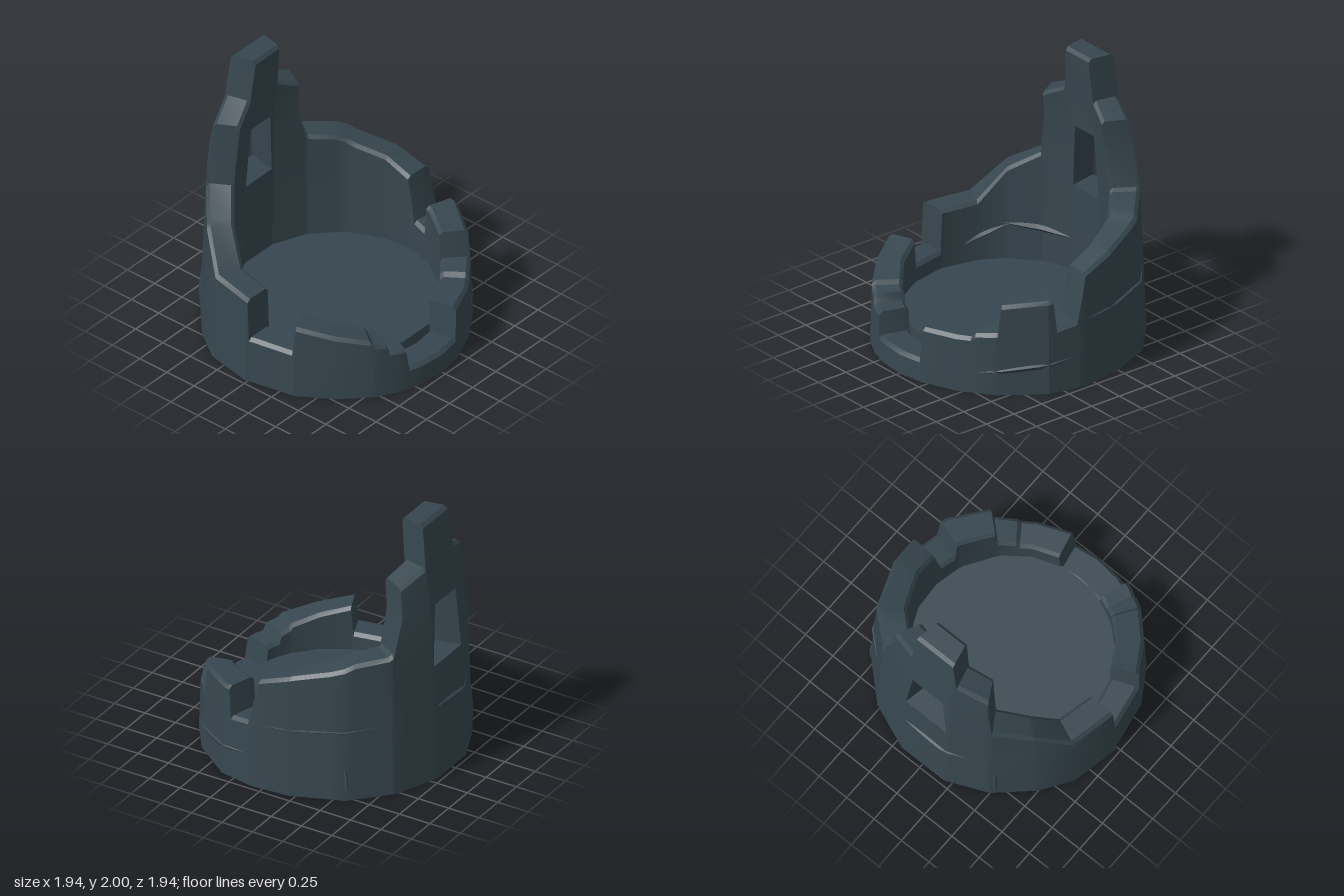
import * as THREE from 'three';
import { toCreasedNormals } from 'three/addons/utils/BufferGeometryUtils.js';

const RAD = Math.PI / 180;
const BEVEL = 0.025;
const LEVELS = [0, 0.5, 0.89, 1.37, 1.65, 2]; // window spans levels 2 to 3

// Corners of the uneven ring: [angle from the front towards +x, outer scale]
const CORNERS = [
  [0, 0.985], [12, 0.975], [28.5, 0.965], [46, 0.975], [68.5, 1], [85, 0.985], [102, 0.98],
  [126, 1], [147.5, 1], [168.75, 1], [191.25, 1], [211, 0.985], [231, 0.975], [247, 0.99],
  [269, 0.985], [271, 0.97], [292, 0.975], [309.5, 0.965], [326.5, 0.98], [338, 0.985],
  [348, 0.985], [360, 0.985],
];
// Broken top edge: [angle, height]
const SKYLINE = [
  [0, 0.17], [11, 0.17], [12.5, 0.42], [35, 0.42], [37, 0.45], [47, 0.47],
  [48.5, 0.68], [71, 0.71], [72.5, 0.48], [82, 0.5], [87, 0.85], [103, 0.94],
  [120, 1.0], [131, 1.06], [146, 1.08], [148, 1.1], [153, 1.38], [153.3, 1.59],
  [168, 1.67], [168.75, 2], [191.25, 2], [194, 1.67], [209.3, 1.575], [211.5, 1.08],
  [229, 0.95], [231, 0.93], [247, 0.69], [269, 0.68], [270, 0.36], [291, 0.36],
  [292.5, 0.57], [325, 0.46], [326.5, 0.43], [332, 0.41], [333.5, 0.35], [341, 0.34],
  [342.5, 0.17], [360, 0.17],
];
const OUTER = [[0, 0.985], [0.5, 0.967], [0.93, 0.948], [1.4, 0.93], [1.65, 0.885], [2, 0.846]];
const INNER = [[0, 0.735], [1, 0.73], [1.4, 0.715], [1.57, 0.69], [2, 0.648]];

function sample(table, t) {
  for (let i = 1; i < table.length; i++) {
    const [a, u] = table[i - 1], [b, v] = table[i];
    if (t <= b) return u + (v - u) * (t - a) / (b - a);
  }
  return table[table.length - 1][1];
}

// Point on the ring, where each side is a flat chord between two corners
function ringPoint(deg, table, y, offset = 0) {
  const k = Math.max(1, CORNERS.findIndex(c => deg <= c[0]));
  const [[a, sa], [b, sb]] = [CORNERS[k - 1], CORNERS[k]];
  const radius = sample(table, y);
  const ra = radius * (table === OUTER ? sa : 1), rb = radius * (table === OUTER ? sb : 1);
  const r = ra * rb * Math.sin((b - a) * RAD) /
    (ra * Math.sin((deg - a) * RAD) + rb * Math.sin((b - deg) * RAD)) + offset;
  return new THREE.Vector3(r * Math.sin(deg * RAD), y, r * Math.cos(deg * RAD));
}

function surface() {
  const pos = [];
  const tri = (a, b, c) => {
    const area = b.clone().sub(a).cross(c.clone().sub(a)).length();
    if (area > 1e-7) pos.push(...a.toArray(), ...b.toArray(), ...c.toArray());
  };
  return {
    quad(a, b, c, d) { tri(a, b, c); tri(a, c, d); },
    build(crease) {
      const geo = new THREE.BufferGeometry();
      geo.setAttribute('position', new THREE.Float32BufferAttribute(pos, 3));
      return toCreasedNormals(geo, crease);
    },
  };
}

// Closed wall cross-section: up the outside, over the bevelled top, down the inside
function section(angleAt, h) {
  const ys = LEVELS.map(y => Math.min(y, h - BEVEL));
  return [
    ...ys.map(y => ringPoint(angleAt(y), OUTER, y)),
    ringPoint(angleAt(h), OUTER, h, -BEVEL),
    ringPoint(angleAt(h), INNER, h, BEVEL),
    ...ys.slice().reverse().map(y => ringPoint(angleAt(y), INNER, y)),
  ];
}

function wallGeometry() {
  const angles = [...new Set([...SKYLINE, ...CORNERS].map(p => p[0]))].sort((a, b) => a - b);
  const columns = angles.map(a => section(() => a, sample(SKYLINE, a)));

  // Two extra columns follow the tapering, splayed window sides
  const side = s => section(y => {
    const t = THREE.MathUtils.clamp((y - LEVELS[2]) / (LEVELS[3] - LEVELS[2]), 0, 1);
    return 180 + s * (11.1 - 2.6 * t);
  }, 2);
  const at = angles.indexOf(168.75) + 1;
  columns.splice(at, 0, side(-1), side(1));

  const out = surface(), n = columns[0].length;
  const o2 = 2, o3 = 3, i3 = n - 4, i2 = n - 3;
  for (let k = 0; k < columns.length - 1; k++) {
    const A = columns[k], B = columns[k + 1];
    for (let i = 0; i < n; i++) {
      if (k === at && (i === o2 || i === i3)) continue;
      const j = (i + 1) % n;
      out.quad(A[i], B[i], B[j], A[j]);
    }
    if (k === at) { // sill, lintel and jambs
      out.quad(A[o2], B[o2], B[i2], A[i2]);
      out.quad(A[i3], B[i3], B[o3], A[o3]);
      out.quad(A[o2], A[i2], A[i3], A[o3]);
      out.quad(B[o2], B[o3], B[i3], B[i2]);
    }
  }
  return out.build(0.45);
}

// Thin tapering ridge lying along a weathered crack
function crackGeometry(a0, y0, a1, y1, width, inside) {
  const out = surface(), steps = 8, rows = [];
  const upright = Math.abs(a1 - a0) < 5;
  for (let i = 0; i <= steps; i++) {
    const t = i / steps, swell = Math.sin(Math.PI * t);
    const a = a0 + (a1 - a0) * t, y = y0 + (y1 - y0) * t;
    const spot = (side, lift) => {
      const da = upright ? side * width * swell * 60 : 0;
      const yy = upright ? y : y + side * width * swell;
      return ringPoint(a + da, inside ? INNER : OUTER, yy, (inside ? -1 : 1) * (lift * swell + 0.001));
    };
    rows.push([spot(-0.5, 0), spot(inside ? -0.1 : 0.2, 0.016), spot(0.5, 0)]);
  }
  for (let i = 0; i < steps; i++) for (let j = 0; j < 2; j++) {
    const q = [rows[i][j], rows[i + 1][j], rows[i + 1][j + 1], rows[i][j + 1]];
    // Keep faces pointing away from the wall
    const diagonal = q[2].clone().sub(q[0]);
    const normal = q[1].clone().sub(q[3]).cross(diagonal);
    const radial = new THREE.Vector3(q[0].x, 0, q[0].z).multiplyScalar(inside ? -1 : 1);
    if (normal.dot(radial) < 0) q.reverse();
    out.quad(...q);
  }
  return out.build(0.3);
}

export function createModel() {
  const group = new THREE.Group();
  group.name = 'ruinedTower';
  const stone = new THREE.MeshStandardMaterial({ color: 0x37474f });
  stone.name = 'dark slate stone';
  const add = (name, geo) => {
    const mesh = new THREE.Mesh(geo, stone);
    mesh.name = name;
    group.add(mesh);
    return mesh;
  };

  add('brokenWall', wallGeometry());

  // Floor slab inside the ring
  const floor = new THREE.CylinderGeometry(0.745, 0.745, 0.23, 16, 1, false, 11.25 * RAD);
  add('floor', toCreasedNormals(floor, 0.45)).position.y = 0.115;

  // Weathering: start angle, start height, end angle, end height, width, inside
  const cracks = [
    [38, 0.16, 81, 0.24, 0.04, false],
    [84, 0.5, 140, 0.55, 0.018, false],
    [168, 0.56, 201, 0.53, 0.05, false],
    [127, 0.01, 126, 0.27, 0.03, false],
    [213, 0.01, 213, 0.38, 0.03, false],
    [192, 0.47, 233, 0.51, 0.05, true],
    [230, 0.5, 256, 0.37, 0.04, true],
  ];
  cracks.forEach(c => add('crack', crackGeometry(...c)));
  return group;
}
